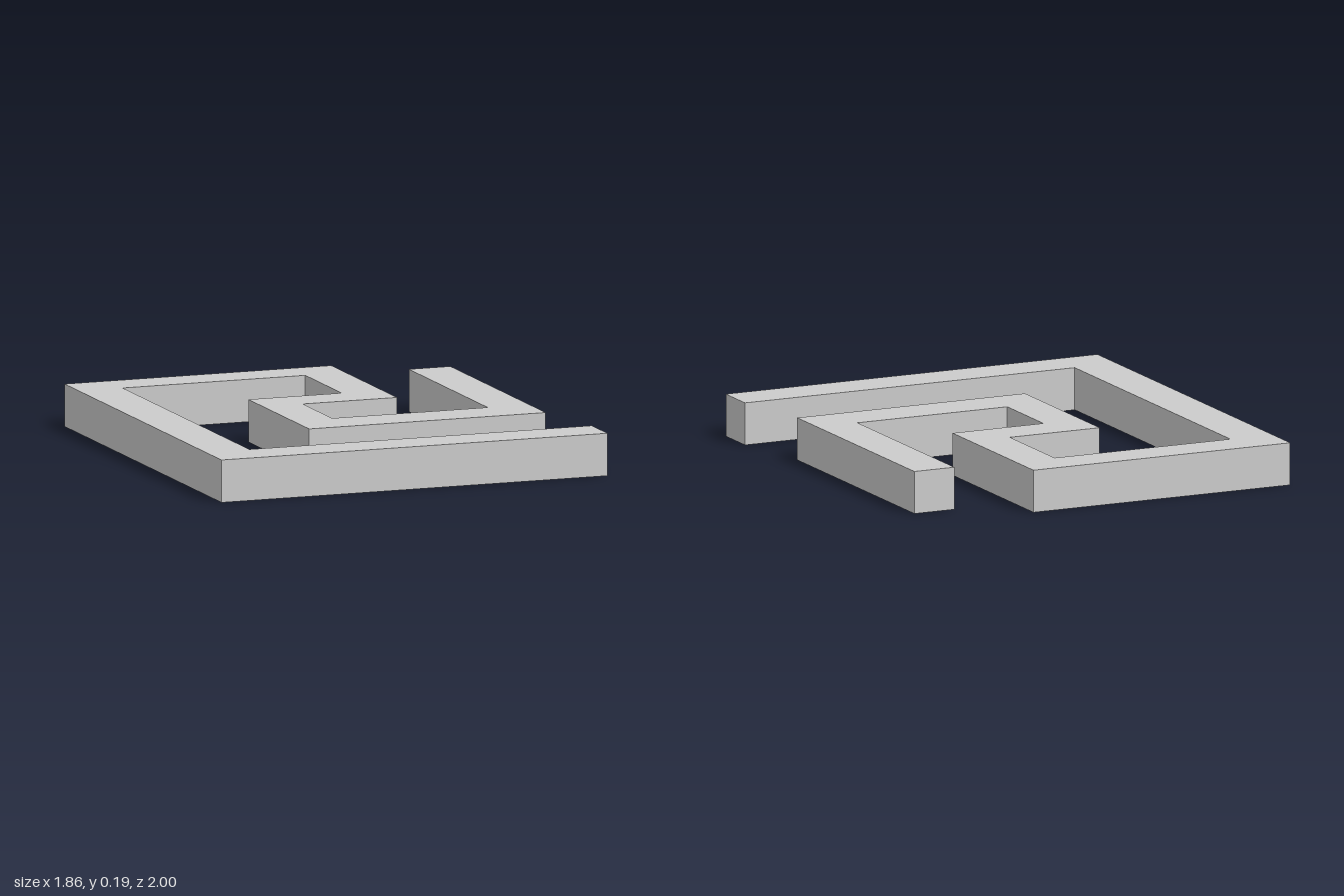
import * as THREE from 'three';

export function createModel() {
  const group = new THREE.Group();
  group.name = 'meander';

  // Plan outline of the folded bar as [x, z]
  const outline = [
    // outer arm, inner edge, then in to the hook
    [-0.93, 1], [0.93, 1], [0.93, 0.8], [-0.72, 0.8], [-0.72, -0.815],
    [0.16, -0.815], [0.16, -0.35], [-0.29, -0.35], [-0.29, 0.425],
    // free end of the hook and back along the other edge
    [0.85, 0.425], [0.85, -0.79], [0.65, -0.79], [0.65, 0.215],
    [-0.1, 0.215], [-0.1, -0.16], [0.355, -0.16], [0.355, -1], [-0.93, -1],
  ];
  const shape = new THREE.Shape(outline.map(([x, z]) => new THREE.Vector2(x, -z)));

  // Raise the outline and lay it flat on the ground
  const geometry = new THREE.ExtrudeGeometry(shape, { depth: 0.195, bevelEnabled: false });
  geometry.rotateX(-Math.PI / 2);

  const bar = new THREE.Mesh(geometry, new THREE.MeshStandardMaterial({ color: 0xcccccc }));
  bar.name = 'foldedBar';
  group.add(bar);
  return group;
}
